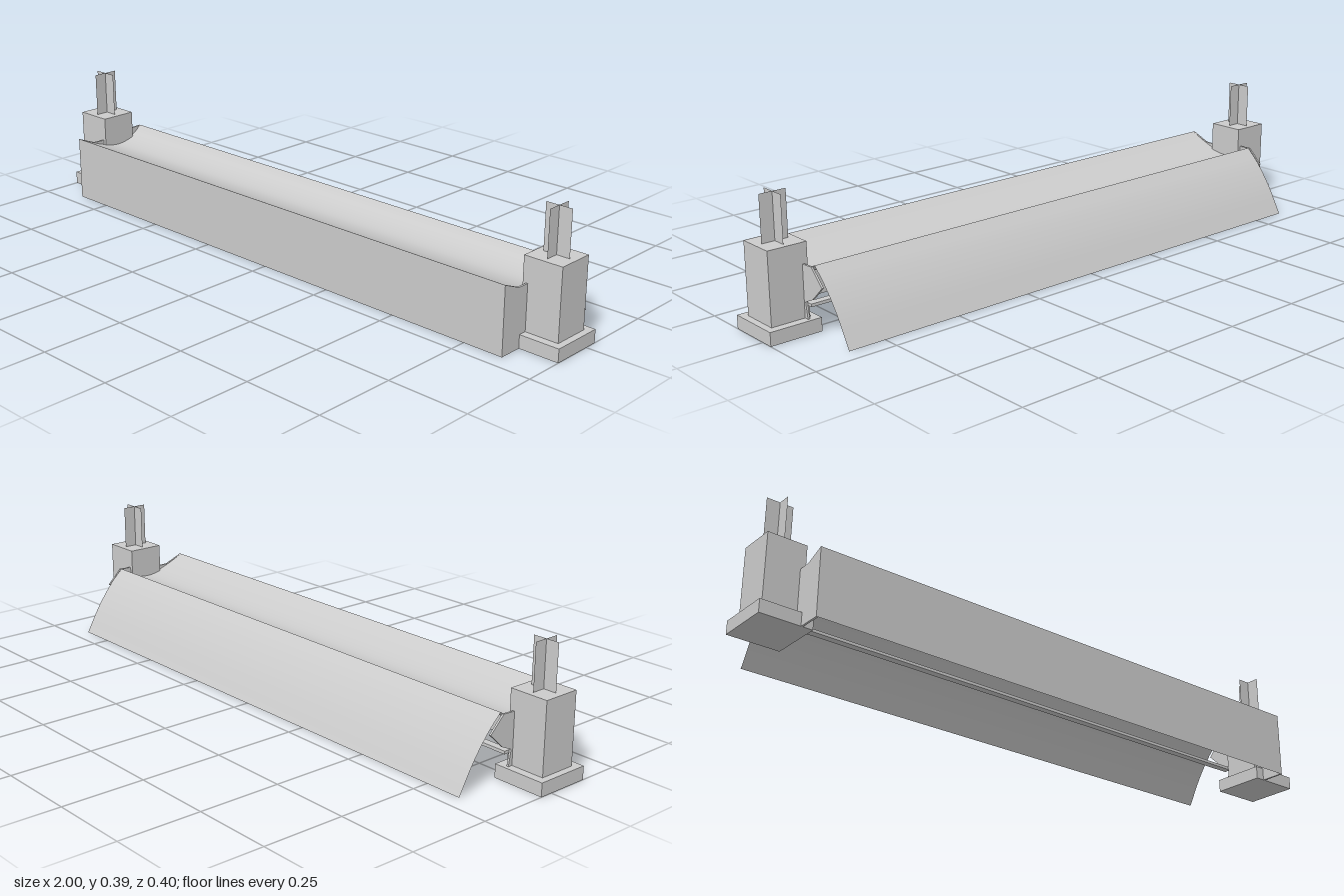
import * as THREE from 'three';

const mat = new THREE.MeshStandardMaterial({ color: 0xcccccc });
const thin = new THREE.MeshStandardMaterial({ color: 0xcccccc, side: THREE.DoubleSide });

function add(parent, name, geometry, material = mat) {
  const mesh = new THREE.Mesh(geometry, material);
  mesh.name = name;
  parent.add(mesh);
  return mesh;
}

// Box given by its limits on each axis
function boxBetween(x0, x1, y0, y1, z0, z1) {
  return new THREE.BoxGeometry(x1 - x0, y1 - y0, z1 - z0)
    .translate((x0 + x1) / 2, (y0 + y1) / 2, (z0 + z1) / 2);
}

// Thin sheet: a smooth [z, y] profile swept along x
function sweptSheet(profile, halfLength, segments) {
  const curve = new THREE.CatmullRomCurve3(profile.map(([z, y]) => new THREE.Vector3(0, y, z)));
  const geo = new THREE.PlaneGeometry(2 * halfLength, 1, 1, segments);
  const pos = geo.attributes.position;
  for (let i = 0; i < pos.count; i++) {
    const p = curve.getPoint(0.5 - pos.getY(i));
    pos.setXYZ(i, pos.getX(i), p.y, p.z);
  }
  geo.computeVertexNormals();
  return geo;
}

export function createModel() {
  const model = new THREE.Group();
  model.name = 'troughBarrier';

  // Hollow body: front panel, curved trough, sloping back apron
  add(model, 'frontPanel', sweptSheet([[0.2, 0.203], [0.2, 0]], 0.875, 1), thin);
  add(model, 'trough', sweptSheet([
    [-0.055, 0.197], [-0.035, 0.178], [0, 0.162], [0.05, 0.154],
    [0.1, 0.162], [0.15, 0.18], [0.2, 0.203],
  ], 0.87, 20), thin);
  add(model, 'backApron', sweptSheet([
    [-0.055, 0.197], [-0.1, 0.152], [-0.15, 0.086], [-0.2, 0],
  ], 0.865, 12), thin);

  // Rail under the apron
  add(model, 'rearRail', boxBetween(-0.87, 0.87, 0.076, 0.085, -0.038, -0.015));

  // End plate outline in z, y
  const outline = new THREE.Shape([
    [0.2, 0], [0.2, 0.203], [0.14, 0.178], [0.1, 0.177], [0, 0.19], [-0.015, 0.193],
    [-0.055, 0.195], [-0.102, 0.148], [-0.055, 0.103], [-0.02, 0.087], [-0.028, 0.04], [-0.028, 0],
  ].map(([z, y]) => new THREE.Vector2(z, y)));
  const plate = new THREE.ExtrudeGeometry(outline, { depth: 0.006, bevelEnabled: false })
    .rotateY(-Math.PI / 2).translate(0.003, 0, 0);

  for (const side of [1, -1]) {
    const end = new THREE.Group();
    end.name = side > 0 ? 'leftEnd' : 'rightEnd';
    model.add(end);

    add(end, 'endPlate', plate).position.x = side * 0.873;

    // Support: foot, post and crossed fins
    const support = new THREE.Group();
    support.name = 'support';
    support.position.x = side * 0.92;
    end.add(support);
    add(support, 'foot', boxBetween(-0.08, 0.08, 0, 0.04, -0.039, 0.127));
    add(support, 'post', boxBetween(-0.06, 0.06, 0.04, 0.253, -0.014, 0.102));
    for (const turn of [0, Math.PI / 2]) {
      const fin = add(support, 'crossFin', new THREE.PlaneGeometry(0.082, 0.137), thin);
      fin.position.set(0, 0.3215, 0.044);
      fin.rotation.y = turn;
    }
  }
  return model;
}
